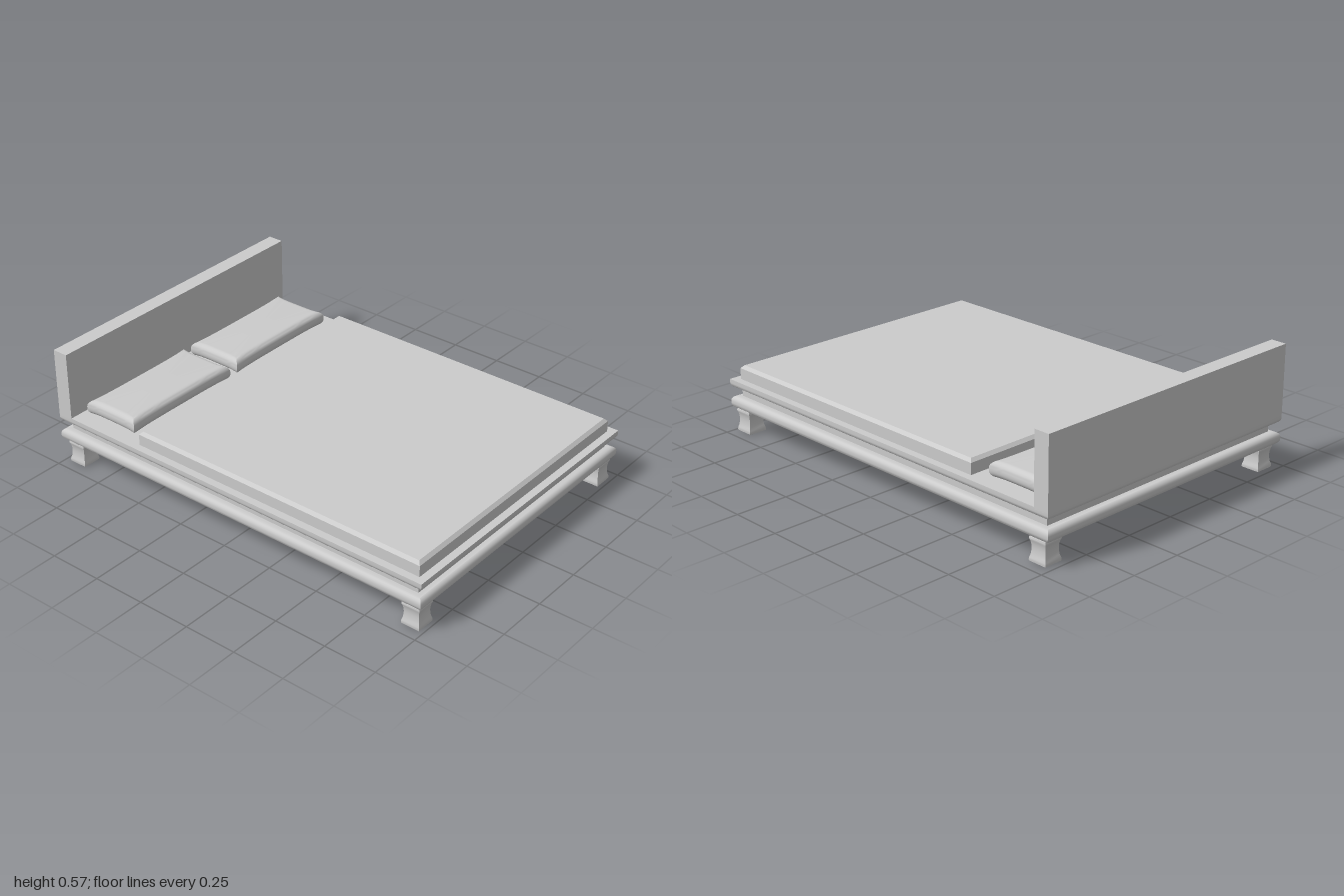
import * as THREE from 'three';
import { toCreasedNormals } from 'three/addons/utils/BufferGeometryUtils.js';

const material = new THREE.MeshStandardMaterial({ color: 0xcccccc });

// Rectangular solid from stacked rings. profile: [inset, y] from bottom to top.
// bow draws the middle of every side inward, leaving the corners pointed.
function rectLoft(halfW, halfD, profile, steps = 1, bow = 0) {
  const pos = [], index = [], n = steps * 4;
  const corners = [[1, 1], [1, -1], [-1, -1], [-1, 1]];
  for (const [inset, y] of profile) {
    const w = halfW - inset, d = halfD - inset;
    for (let i = 0; i < n; i++) {
      const a = corners[Math.floor(i / steps)], b = corners[(Math.floor(i / steps) + 1) % 4];
      const t = (i % steps) / steps;
      const u = a[0] + (b[0] - a[0]) * t, v = a[1] + (b[1] - a[1]) * t;
      pos.push(u * (w - bow * (1 - v ** 4)), y, v * (d - bow * (1 - u ** 4)));
    }
  }
  for (let j = 0; j < profile.length - 1; j++) {
    for (let i = 0; i < n; i++) {
      const a = j * n + i, b = j * n + (i + 1) % n;
      index.push(a, b, b + n, a, b + n, a + n);
    }
  }
  // Bottom and top caps
  const last = (profile.length - 1) * n, c = profile.length * n;
  pos.push(0, profile[0][1], 0, 0, profile[profile.length - 1][1], 0);
  for (let i = 0; i < n; i++) {
    const k = (i + 1) % n;
    index.push(c, k, i, c + 1, last + i, last + k);
  }
  const geo = new THREE.BufferGeometry();
  geo.setAttribute('position', new THREE.Float32BufferAttribute(pos, 3));
  geo.setIndex(index);
  return toCreasedNormals(geo, 0.6);
}

// Quarter-round edge profile, bottom (dir = -1) or top (dir = 1), always listed upward.
function roundEdge(y, r, dir, steps = 5) {
  const pts = [[r + 0.004, y]];
  for (let i = 0; i <= steps; i++) {
    const a = (i / steps) * Math.PI / 2;
    pts.push([r * (1 - Math.sin(a)), y - dir * r * (1 - Math.cos(a))]);
  }
  return dir < 0 ? pts : pts.reverse();
}

export function createModel() {
  const bed = new THREE.Group();
  bed.name = 'bed';
  const add = (name, geo, x = 0, y = 0, z = 0) => {
    const mesh = new THREE.Mesh(geo, material);
    mesh.name = name;
    mesh.position.set(x, y, z);
    bed.add(mesh);
  };
  const box = (name, w, y0, y1, z0, z1) =>
    add(name, new THREE.BoxGeometry(w, y1 - y0, z1 - z0), 0, (y0 + y1) / 2, (z0 + z1) / 2);

  // Rounded lower frame, recessed band and upper platform
  add('lowerFrame', rectLoft(0.717, 1, [...roundEdge(0.112, 0.024, -1), ...roundEdge(0.17, 0.024, 1)]));
  box('recessedBand', 1.36, 0.165, 0.22, -0.96, 0.96);
  add('platform', rectLoft(0.717, 1, [...roundEdge(0.212, 0.02, -1), [0, 0.25]]));

  // Headboard
  box('headboard', 1.434, 0.24, 0.571, -1, -0.925);

  // Blanket block with bevelled top edge
  add('mattress', rectLoft(0.682, 0.753, [[0, 0.245], [0, 0.302], [0.014, 0.316]]), 0, 0, 0.212);

  // Waisted square legs with softened foot and shoulder
  const legProfile = [[0.006, 0], [0.001, 0.003], [0, 0.008], [0.001, 0.018], [0.005, 0.03], [0.007, 0.045],
    [0.008, 0.06], [0.007, 0.075], [0.004, 0.09], [0, 0.1], [0.001, 0.107], [0.006, 0.114]];
  const legGeo = rectLoft(0.045, 0.045, legProfile);
  for (const [side, sx] of [['left', 1], ['right', -1]]) {
    add(side + 'FrontLeg', legGeo, sx * 0.655, 0, 0.938);
    add(side + 'BackLeg', legGeo, sx * 0.655, 0, -0.927);
  }

  // Pillows with pinched corners
  const pillowGeo = rectLoft(0.312, 0.144,
    [...roundEdge(0.25, 0.03, -1, 6), ...roundEdge(0.322, 0.03, 1, 6)], 16, 0.008);
  add('leftPillow', pillowGeo, 0.335, 0, -0.75);
  add('rightPillow', pillowGeo, -0.335, 0, -0.75);

  return bed;
}
